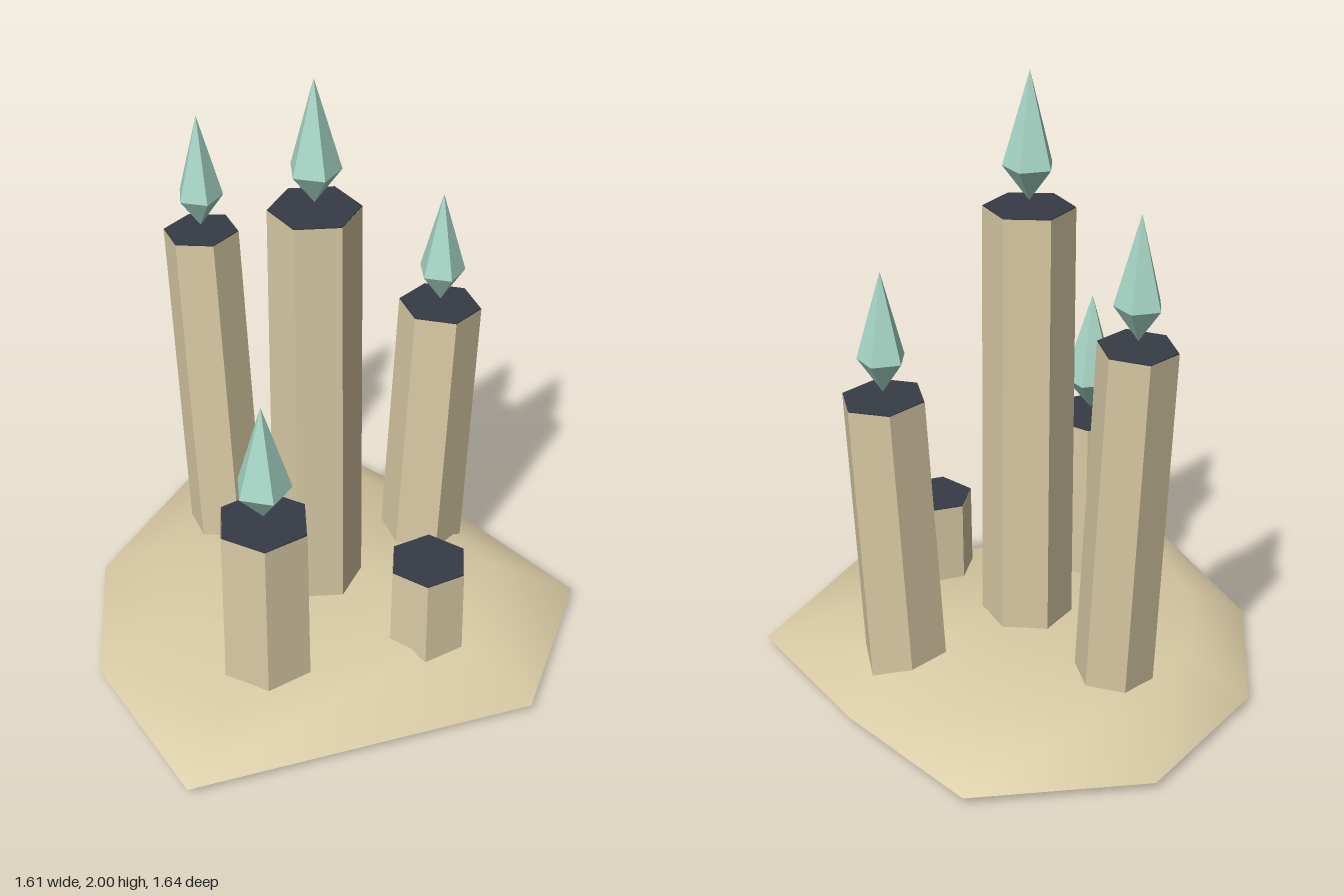
import * as THREE from 'three';

const stone = new THREE.MeshStandardMaterial({ name: 'sandstone', color: 0xd8caa4, side: THREE.DoubleSide });
const stoneFlat = new THREE.MeshStandardMaterial({ name: 'sandstone facets', color: 0xd8caa4, side: THREE.DoubleSide, flatShading: true });
const slate = new THREE.MeshStandardMaterial({ name: 'dark slate', color: 0x363b45 });
const crystal = new THREE.MeshStandardMaterial({ name: 'pale teal', color: 0xa8d8c8, flatShading: true });

// Irregular outline of the mound: x, z, and how far out its shoulder sits
const OUTLINE = [
  [0.80, 0.02, 0.65], [0.565, 0.56, 0.62], [-0.54, 0.82, 0.79], [-0.81, 0.28, 0.75],
  [-0.80, -0.24, 0.75], [-0.50, -0.71, 0.72], [0.07, -0.82, 0.71], [0.46, -0.43, 0.68],
];

// Pillars: bottom centre, top centre, top height, radius, turn in degrees, flame radius and height
const PILLARS = [
  { name: 'centrePillar', from: [-0.076, 0.018], to: [-0.076, 0.018], top: 1.58, r: 0.142, turn: 0, flame: 0.082, flameH: 0.40 },
  { name: 'frontRightPillar', from: [-0.268, 0.402], to: [-0.268, 0.402], top: 0.72, r: 0.15, turn: 32, flame: 0.09, flameH: 0.405 },
  { name: 'backRightPillar', from: [-0.36, -0.31], to: [-0.41, -0.37], top: 1.295, r: 0.122, turn: 13, flame: 0.075, flameH: 0.385 },
  { name: 'backLeftPillar', from: [0.295, -0.21], to: [0.348, -0.242], top: 1.055, r: 0.134, turn: 15, flame: 0.077, flameH: 0.385 },
  { name: 'frontLeftPillar', from: [0.255, 0.305], to: [0.255, 0.305], top: 0.44, r: 0.13, turn: 38 },
];

function mesh(name, geometry, material) {
  const m = new THREE.Mesh(geometry, material);
  m.name = name;
  return m;
}

// Smooth low mound: rim ring, shoulder ring and peak
function moundTop() {
  const n = OUTLINE.length;
  const pos = [];
  const index = [];
  OUTLINE.forEach(([x, z]) => pos.push(x, 0.028, z));
  OUTLINE.forEach(([x, z, s]) => pos.push(x * s, 0.16, z * s));
  pos.push(0, 0.185, 0);
  for (let i = 0; i < n; i++) {
    const j = (i + 1) % n;
    index.push(i, n + i, j, j, n + i, n + j, n + i, 2 * n, n + j);
  }
  // Outline runs clockwise seen from above, so flip the corners to face outward
  for (let i = 0; i < index.length; i += 3) [index[i + 1], index[i + 2]] = [index[i + 2], index[i + 1]];
  const g = new THREE.BufferGeometry();
  g.setAttribute('position', new THREE.Float32BufferAttribute(pos, 3));
  g.setIndex(index);
  // Choose the winding that points the peak upward
  g.computeVertexNormals();
  if (g.attributes.normal.getY(2 * n) < 0) {
    for (let i = 0; i < index.length; i += 3) [index[i + 1], index[i + 2]] = [index[i + 2], index[i + 1]];
    g.setIndex(index);
    g.computeVertexNormals();
  }
  return g;
}

function moundBottom() {
  const shape = new THREE.Shape(OUTLINE.map(([x, z]) => new THREE.Vector2(x, z)));
  return new THREE.ShapeGeometry(shape).rotateX(Math.PI / 2).translate(0, 0.028, 0);
}

// Six-sided pillar, leaning from its foot to its head, with a dark cap
function pillar({ name, from, to, top, r, turn }) {
  const g = new THREE.Group();
  g.name = name;
  const foot = new THREE.Vector3(from[0], 0.01, from[1]);
  const axis = new THREE.Vector3(to[0], top, to[1]).sub(foot);
  const h = axis.length();
  const start = THREE.MathUtils.degToRad(30 - turn);
  const shaft = new THREE.CylinderGeometry(r, r * 1.04, h, 6, 1, true, start).translate(0, h / 2, 0);
  const cap = new THREE.CylinderGeometry(r * 0.985, r * 0.985, 0.004, 6, 1, false, start).translate(0, h, 0);
  g.add(mesh('shaft', shaft, stoneFlat), mesh('cap', cap, slate));
  g.position.copy(foot);
  g.quaternion.setFromUnitVectors(new THREE.Vector3(0, 1, 0), axis.normalize());
  return g;
}

// Five-sided pointed crystal, floating just above the cap
function flame({ to, top, flame: r, flameH }) {
  const low = 0.107;
  const high = flameH - low;
  const g = new THREE.Group();
  g.name = 'flame';
  const upper = new THREE.ConeGeometry(r, high, 5, 1, true, Math.PI / 2).translate(0, low + high / 2, 0);
  const lower = new THREE.CylinderGeometry(r, 0, low, 5, 1, true, Math.PI / 2).translate(0, low / 2, 0);
  g.add(mesh('flameTip', upper, crystal), mesh('flameBase', lower, crystal));
  g.position.set(to[0], top + 0.02, to[1]);
  return g;
}

export function createModel() {
  const model = new THREE.Group();
  model.name = 'candlePillars';
  model.add(mesh('mound', moundTop(), stone), mesh('moundUnderside', moundBottom(), stone));
  for (const p of PILLARS) {
    model.add(pillar(p));
    if (p.flame) model.add(flame(p));
  }
  return model;
}
